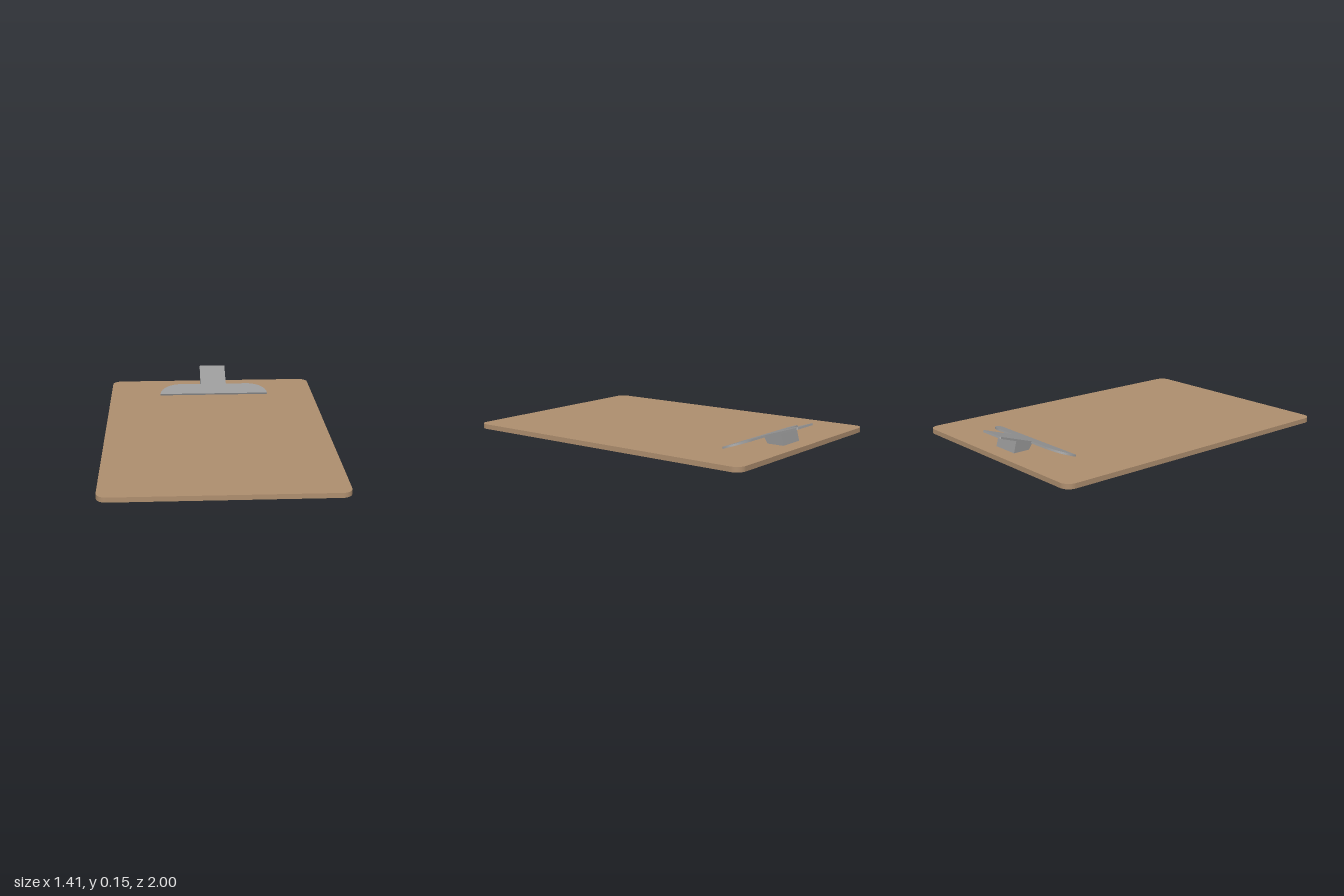
import * as THREE from 'three';

const CLIP_X = 0.0125; // the clip sits slightly off centre
const TILT = 0.317;

function extrude(shape, depth, curveSegments = 12) {
  return new THREE.ExtrudeGeometry(shape, { depth, bevelEnabled: false, curveSegments });
}

// Rectangle with rounded corners, centred on the origin
function roundedRect(hw, hh, r) {
  const s = new THREE.Shape();
  s.absarc(hw - r, hh - r, r, 0, Math.PI / 2);
  s.absarc(-hw + r, hh - r, r, Math.PI / 2, Math.PI);
  s.absarc(-hw + r, -hh + r, r, Math.PI, Math.PI * 1.5);
  s.absarc(hw - r, -hh + r, r, Math.PI * 1.5, Math.PI * 2);
  s.closePath();
  return s;
}

// Flat clip outline: wide jaw with curved shoulders and a narrow thumb tab
function clipOutline() {
  const jaw = 0.373, shoulder = 0.14, depth = 0.113, tab = 0.09, length = 0.336, r = 0.006;
  const s = new THREE.Shape();
  s.moveTo(-jaw, 0);
  s.lineTo(jaw, 0);
  s.absellipse(jaw - shoulder, 0, shoulder, depth, 0, Math.PI / 2, false);
  s.lineTo(tab, depth);
  s.lineTo(tab, length - r);
  s.lineTo(tab - r, length);
  s.lineTo(-tab + r, length);
  s.lineTo(-tab, length - r);
  s.lineTo(-tab, depth);
  s.lineTo(-jaw + shoulder, depth);
  s.absellipse(-jaw + shoulder, 0, shoulder, depth, Math.PI / 2, Math.PI, false);
  return s;
}

export function createModel() {
  const model = new THREE.Group();
  const wood = new THREE.MeshStandardMaterial({ name: 'brown hardboard', color: 0xb09070 });
  const steel = new THREE.MeshStandardMaterial({ name: 'grey steel', color: 0x999999 });

  function add(name, geometry, material, parent = model) {
    const mesh = new THREE.Mesh(geometry, material);
    mesh.name = name;
    parent.add(mesh);
    return mesh;
  }

  // Backing board
  const board = extrude(roundedRect(0.705, 1, 0.06), 0.03);
  board.rotateX(-Math.PI / 2);
  add('board', board, wood);

  const clip = new THREE.Group();
  clip.name = 'clip';
  clip.position.x = CLIP_X;
  model.add(clip);

  // Tilted clip plate, its jaw edge resting on the board
  const plate = add('clipPlate', extrude(clipOutline(), 0.012, 16), steel, clip);
  plate.rotation.x = -Math.PI / 2 + TILT;
  plate.position.set(0, 0.031, -0.672);

  // Wedge-shaped mount under the plate; profile runs in (-z, y)
  const profile = new THREE.Shape([
    [0.795, 0.028], [0.9, 0.028], [0.88, 0.103], [0.77, 0.067],
  ].map(([d, y]) => new THREE.Vector2(d, y)));
  const mount = extrude(profile, 0.18);
  mount.translate(0, 0, -0.09);
  mount.rotateY(Math.PI / 2);
  add('clipMount', mount, steel, clip);

  return model;
}
